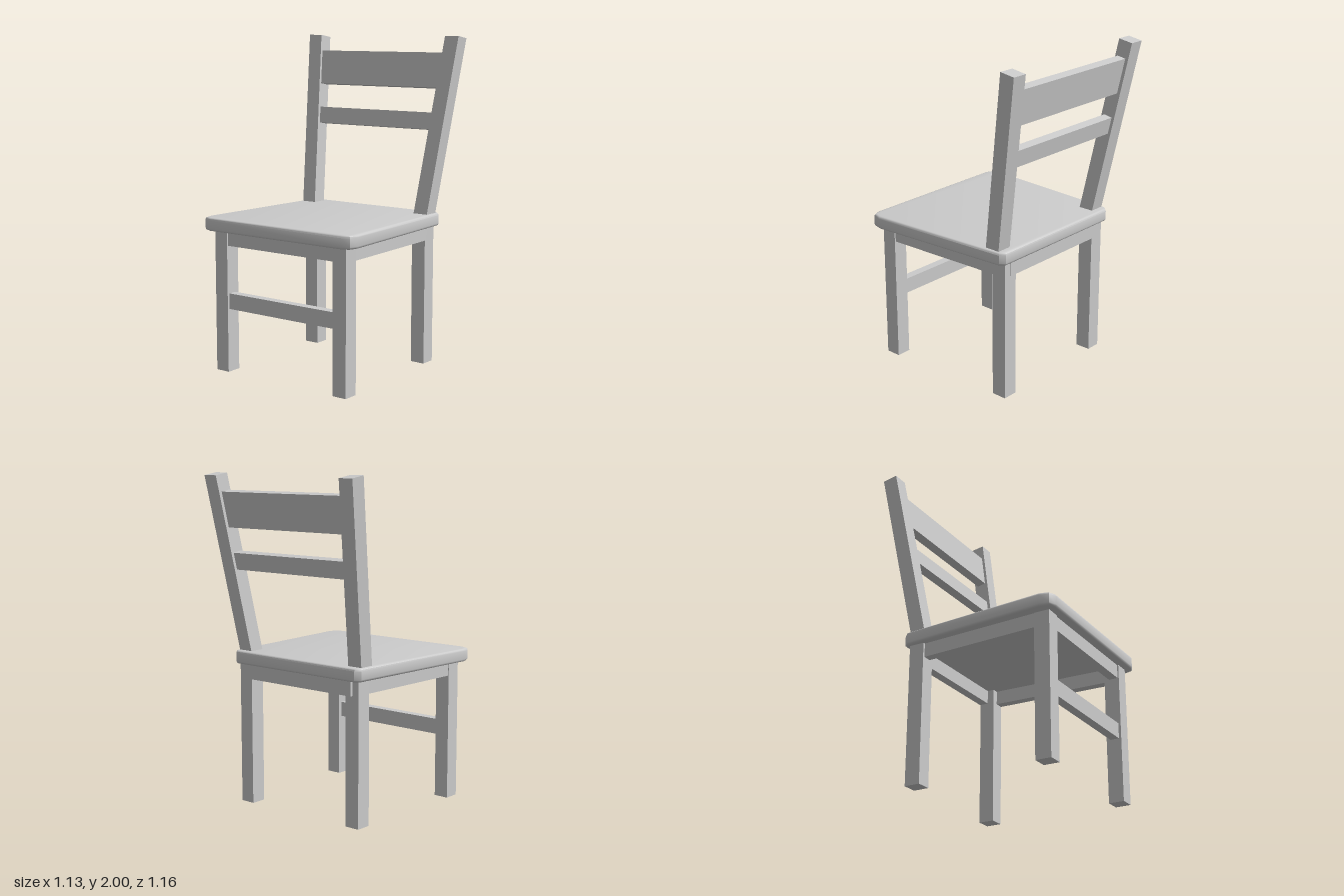
import * as THREE from 'three';
import { toCreasedNormals } from 'three/addons/utils/BufferGeometryUtils.js';

const material = new THREE.MeshStandardMaterial({ color: 0xcccccc });

export function createModel() {
  const chair = new THREE.Group();
  chair.name = 'chair';

  function add(name, geometry) {
    const mesh = new THREE.Mesh(geometry, material);
    mesh.name = name;
    chair.add(mesh);
    return mesh;
  }

  // Box given by its limits on each axis
  function block(name, [x0, x1], [y0, y1], [z0, z1]) {
    const mesh = add(name, new THREE.BoxGeometry(x1 - x0, y1 - y0, z1 - z0));
    mesh.position.set((x0 + x1) / 2, (y0 + y1) / 2, (z0 + z1) / 2);
    return mesh;
  }

  // Seat: tapered board with clipped front corners and softened edges
  const bevel = 0.015;
  const half = [[0.485, 0.563], [0.522, 0.547], [0.535, 0.5], [0.475, -0.405], [0.455, -0.425]];
  const outline = [...half, ...half.map(([x, z]) => [-x, z]).reverse()];
  const seat = new THREE.ExtrudeGeometry(
    new THREE.Shape(outline.map(([x, z]) => new THREE.Vector2(x, z))),
    { depth: 0.08 - 2 * bevel, bevelThickness: bevel, bevelSize: bevel, bevelSegments: 3 }
  );
  seat.rotateX(Math.PI / 2).translate(0, 0.935 - bevel, 0);
  add('seat', toCreasedNormals(seat, 0.7));

  // Legs, the rear pair set slightly unevenly
  block('frontLegRight', [-0.483, -0.39], [0, 0.86], [0.435, 0.53]);
  block('frontLegLeft', [0.395, 0.487], [0, 0.86], [0.435, 0.53]);
  block('backLegRight', [-0.463, -0.37], [0, 0.86], [-0.405, -0.31]);
  block('backLegLeft', [0.355, 0.448], [0, 0.86], [-0.42, -0.325]);

  // Aprons under the seat and the front stretcher
  block('frontApron', [-0.4, 0.405], [0.77, 0.86], [0.465, 0.522]);
  block('backApron', [-0.42, 0.4], [0.77, 0.86], [-0.424, -0.368]);
  block('frontStretcher', [-0.4, 0.405], [0.385, 0.48], [0.46, 0.515]);
  for (const side of [-1, 1]) {
    const apron = block('sideApron', [-0.027, 0.027], [0.77, 0.86], [-0.4, 0.4]);
    apron.position.set(side * 0.437, 0.815, 0.06);
    apron.rotation.y = side * 0.04;
  }

  // Back posts: boxes sheared outward and backward, tops cut square to the lean
  const lean = 0.177;
  for (const side of [-1, 1]) {
    const geometry = new THREE.BoxGeometry(0.095, 1.09, 0.095);
    const p = geometry.attributes.position;
    for (let i = 0; i < p.count; i++) {
      const top = p.getY(i) > 0;
      const y = top ? (p.getZ(i) > 0 ? 2 : 1.985) : 0.91;
      const rise = y - 0.935;
      p.setXYZ(i,
        p.getX(i) + side * (0.428 + 0.084 * rise),
        y,
        p.getZ(i) - 0.348 - lean * rise);
    }
    geometry.computeVertexNormals();
    add('backPost', geometry);
  }

  // Back slats, tilted with the posts
  for (const [name, width, height, y, z] of [
    ['upperSlat', 0.93, 0.213, 1.79, -0.4975],
    ['lowerSlat', 0.88, 0.102, 1.485, -0.446],
  ]) {
    const slat = add(name, new THREE.BoxGeometry(width, height, 0.056));
    slat.position.set(0, y, z);
    slat.rotation.x = -Math.atan(lean);
  }

  return chair;
}
